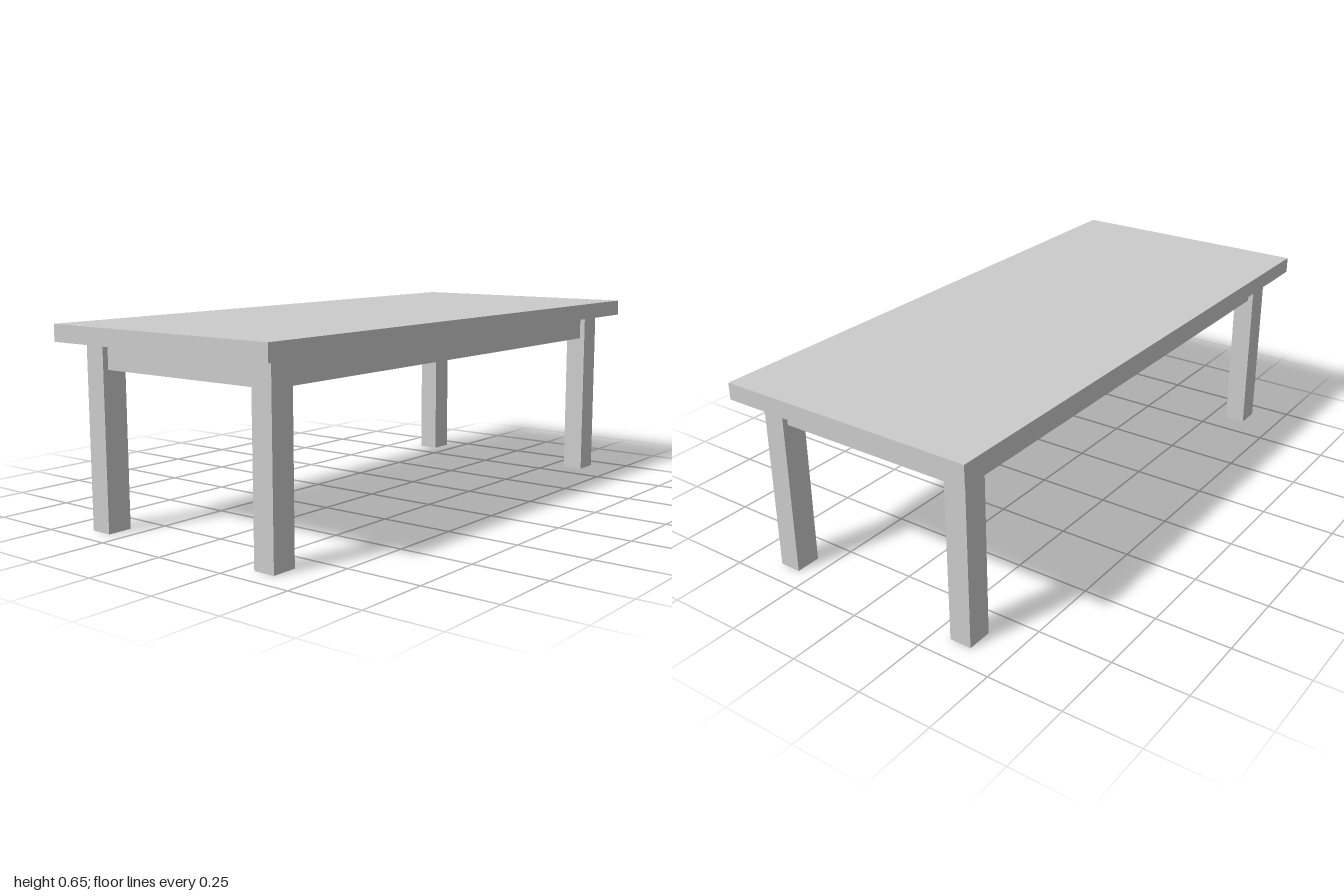
import * as THREE from 'three';

export function createModel() {
  const table = new THREE.Group();
  table.name = 'table';
  const material = new THREE.MeshStandardMaterial({ color: 0xcccccc });

  // Box given by its min and max corners
  function block(name, min, max) {
    const size = max.map((v, i) => v - min[i]);
    const mesh = new THREE.Mesh(new THREE.BoxGeometry(...size), material);
    mesh.position.set(...max.map((v, i) => (v + min[i]) / 2));
    mesh.name = name;
    table.add(mesh);
  }

  const topY = 0.652, underY = 0.597, apronY = 0.512;
  const legOutX = 0.383, legInX = 0.309;
  const legOutZ = 0.926, legInZ = 0.84;
  const inset = 0.019; // apron set back from the outer leg faces

  block('tabletop', [-0.442, underY, -1], [0.442, topY, 1]);

  // Span between two distances from the centre, on the side given by sign
  const span = (s, a, b) => (s > 0 ? [a, b] : [-b, -a]);

  for (const [sideX, s] of [['left', 1], ['right', -1]]) {
    // Legs
    const [x0, x1] = span(s, legInX, legOutX);
    for (const [sideZ, t] of [['Front', 1], ['Back', -1]]) {
      const [z0, z1] = span(t, legInZ, legOutZ);
      block(`${sideX}${sideZ}Leg`, [x0, 0, z0], [x1, underY, z1]);
    }
    // Long aprons, flush with the inner leg faces
    const [a0, a1] = span(s, legInX, legOutX - inset);
    block(`${sideX}Apron`, [a0, apronY, -legInZ], [a1, underY, legInZ]);
  }

  // Short aprons
  for (const [side, t] of [['front', 1], ['back', -1]]) {
    const [z0, z1] = span(t, legInZ, legOutZ - inset);
    block(`${side}Apron`, [-legInX, apronY, z0], [legInX, underY, z1]);
  }

  return table;
}
